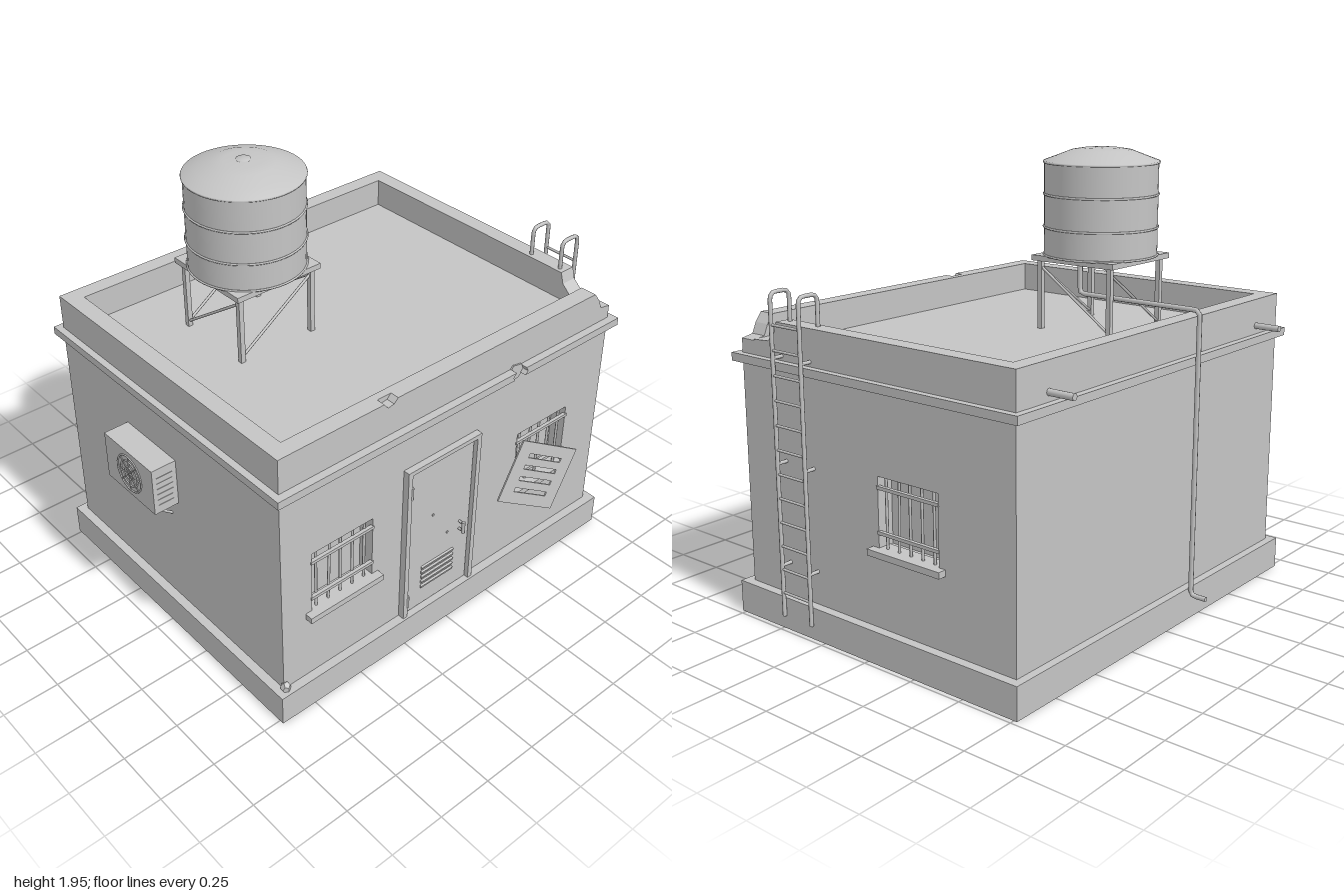
import * as THREE from 'three';

const concrete = new THREE.MeshStandardMaterial({ color: 0xc4c4c4 });
concrete.name = 'plain grey';

export function createModel() {
  const model = new THREE.Group();
  model.name = 'utilityBuilding';

  const add = (name, geometry, parent = model) => {
    const mesh = new THREE.Mesh(geometry, concrete);
    mesh.name = name;
    parent.add(mesh);
    return mesh;
  };
  const group = (name, parent = model) => {
    const g = new THREE.Group();
    g.name = name;
    parent.add(g);
    return g;
  };
  // Box given by its limits on each axis
  const box = (name, x0, x1, y0, y1, z0, z1, parent) => {
    const mesh = add(name, new THREE.BoxGeometry(x1 - x0, y1 - y0, z1 - z0), parent);
    mesh.position.set((x0 + x1) / 2, (y0 + y1) / 2, (z0 + z1) / 2);
    return mesh;
  };
  // Round bar between two points
  const rod = (name, a, b, r, parent, sides = 8) => {
    const p = new THREE.Vector3(...a), q = new THREE.Vector3(...b);
    const d = q.clone().sub(p);
    const mesh = add(name, new THREE.CylinderGeometry(r, r, d.length(), sides), parent);
    mesh.position.copy(p).add(q).multiplyScalar(0.5);
    mesh.quaternion.setFromUnitVectors(new THREE.Vector3(0, 1, 0), d.normalize());
    return mesh;
  };
  // Bent pipe with rounded corners
  const pipe = (name, pts, r, bend, parent) => {
    const v = pts.map(p => new THREE.Vector3(...p));
    const path = new THREE.CurvePath();
    let from = v[0];
    for (let i = 1; i < v.length - 1; i++) {
      const a = v[i].clone().add(v[i - 1].clone().sub(v[i]).setLength(bend));
      const b = v[i].clone().add(v[i + 1].clone().sub(v[i]).setLength(bend));
      path.add(new THREE.LineCurve3(from, a));
      path.add(new THREE.QuadraticBezierCurve3(a, v[i], b));
      from = b;
    }
    path.add(new THREE.LineCurve3(from, v[v.length - 1]));
    add(name, new THREE.TubeGeometry(path, 90, r, 8), parent);
    rod(name + 'Start', pts[0], v[0].clone().lerp(v[1], 0.05).toArray(), r, parent);
    rod(name + 'End', v[v.length - 2].clone().lerp(v[v.length - 1], 0.9).toArray(), pts[pts.length - 1], r, parent);
  };
  const outline = pts => pts.map(p => new THREE.Vector2(...p));
  const rect = (x0, x1, y0, y1) => [[x0, y0], [x1, y0], [x1, y1], [x0, y1]];
  const slab = (pts, holes, depth) => {
    const s = new THREE.Shape(outline(pts));
    holes.forEach(h => s.holes.push(new THREE.Path(outline(h))));
    return new THREE.ExtrudeGeometry(s, { depth, bevelEnabled: false });
  };

  // Walls, roof and parapet
  const T = 0.075, roofY = 1.17;
  box('base', -0.92, 0.98, 0, 0.14, -0.765, 0.77);
  box('roofCore', -0.87, 0.94 - T, 0.13, roofY, -0.72, 0.73 - T);
  const windowY = [0.475, 0.77];
  add('frontWall', slab([
    [-0.88, 0.14], [0.94, 0.14], [0.94, 1.205], [0.885, 1.215], [0.865, 1.26], [0.835, 1.3],
    [-0.3, 1.3], [-0.32, 1.28], [-0.35, 1.275], [-0.37, 1.3], [-0.88, 1.3]],
    [rect(-0.73, -0.415, ...windowY), rect(0.415, 0.725, ...windowY)], T)).position.z = 0.73 - T;
  const rightWall = add('rightWall', slab([
    [T - 0.73, 0.14], [0.73, 0.14], [0.73, 1.3], [-0.515, 1.3], [-0.53, 1.25], [-0.57, 1.215], [T - 0.73, 1.21]],
    [rect(0.04, 0.355, ...windowY)], T));
  rightWall.rotation.y = Math.PI / 2;
  rightWall.position.x = 0.94 - T;
  box('backWall', -0.88, 0.94 - T, 0.14, 1.3, -0.73, -0.73 + T);
  box('leftWall', -0.88, -0.88 + T, 0.14, 1.3, -0.73 + T, 0.73 - T);
  // Back of the shallow bite in the front parapet
  box('parapetBiteBack', -0.38, -0.29, 1.26, 1.3, 0.655, 0.69);

  // Ledge around the walls, with a broken gap at the front
  const [l0, l1] = [1.11, 1.145];
  box('ledgeBack', -0.91, 0.97, l0, l1, -0.76, -0.725);
  box('ledgeLeft', -0.91, -0.875, l0, l1, -0.725, 0.725);
  box('ledgeRight', 0.935, 0.97, l0, l1, -0.725, 0.725);
  [[[-0.91, l0], [0.325, l0], [0.315, 1.125], [0.33, l1], [-0.91, l1]],
    [[0.385, l0], [0.97, l0], [0.97, l1], [0.39, l1], [0.4, 1.125]]].forEach(p => {
    add('ledgeFront', slab(p, [], 0.04)).position.z = 0.725;
  });
  // Damaged patches on the front
  [[[0.31, 1.12], [0.335, 1.088], [0.375, 1.09], [0.402, 1.115], [0.39, 1.15], [0.34, 1.16]],
    [[0.72, 0.43], [0.765, 0.38], [0.8, 0.415], [0.785, 0.455], [0.74, 0.472]]].forEach(p => {
    add('chippedPatch', slab(p, [], 0.008)).position.z = 0.729;
  });
  const rubble = add('rubble', new THREE.DodecahedronGeometry(0.028).scale(0.8, 1, 0.8));
  rubble.position.set(-0.875, 0.15, 0.735);

  // Barred windows; local origin is at the wall face, bottom centre
  const barredWindow = (name, x, z, turn) => {
    const g = group(name);
    g.position.set(x, 0.475, z);
    g.rotation.y = turn;
    box('sill', -0.19, 0.19, -0.025, 0.002, -0.06, 0.036, g);
    for (const y of [0.065, 0.25]) box('crossBar', -0.162, 0.162, y - 0.007, y + 0.007, -0.012, 0.004, g);
    for (let i = 0; i < 5; i++) {
      const bx = -0.125 + i * 0.0625;
      rod('bar', [bx, 0, -0.015], [bx + (i === 1 ? 0.008 : 0), 0.295, -0.015], 0.006, g);
    }
  };
  barredWindow('leftFrontWindow', -0.572, 0.73, 0);
  barredWindow('rightFrontWindow', 0.57, 0.73, 0);
  barredWindow('sideWindow', 0.94, -0.197, Math.PI / 2);

  // Door with frame, vent slats, hinges and handle
  const door = group('door');
  box('frameLeft', -0.255, -0.232, 0.14, 0.925, 0.72, 0.76, door);
  box('frameRight', 0.132, 0.155, 0.14, 0.925, 0.72, 0.76, door);
  box('frameTop', -0.232, 0.132, 0.905, 0.925, 0.72, 0.76, door);
  box('leaf', -0.228, 0.128, 0.145, 0.9, 0.72, 0.742, door);
  for (let i = 0; i < 5; i++) {
    const y = 0.24 + i * 0.0265;
    box('ventSlat', -0.145, 0.04, y, y + 0.014, 0.74, 0.749, door).rotation.x = 0.3;
  }
  for (const y of [0.22, 0.81]) rod('hinge', [-0.23, y - 0.03, 0.755], [-0.23, y + 0.03, 0.755], 0.008, door);
  rod('handle', [0.072, 0.44, 0.768], [0.072, 0.5, 0.768], 0.008, door);
  for (const y of [0.45, 0.49]) rod('handleMount', [0.072, y, 0.74], [0.072, y, 0.768], 0.006, door);
  for (const [x, y] of [[-0.09, 0.615], [0, 0.47]]) rod('stud', [x, y, 0.738], [x, y, 0.746], 0.006, door);

  // Loose slotted shutter hanging over the right window
  const slots = [0, 1, 2, 3].map(i => rect(0.065, 0.25, 0.055 + i * 0.055, 0.075 + i * 0.055));
  const shutter = add('hangingShutter', slab(rect(0, 0.313, 0, 0.293), slots, 0.008));
  const u = new THREE.Vector3(0.27, -0.14, 0.075).normalize();
  const v = new THREE.Vector3(0.135, 0.258, 0).normalize();
  const n = u.clone().cross(v).normalize();
  v.crossVectors(n, u);
  shutter.quaternion.setFromRotationMatrix(new THREE.Matrix4().makeBasis(u, v, n));
  shutter.position.set(0.265, 0.515, 0.775);

  // Ladder with hooped handrails
  const ladder = group('ladder');
  for (const z of [0.32, 0.485]) {
    pipe('rail', [[0.988, 0.06, z], [0.988, 1.43, z], [0.89, 1.43, z], [0.89, 1.29, z]], 0.009, 0.03, ladder);
    for (const y of [0.285, 0.725, 1.165]) rod('bracket', [0.93, y, z], [0.988, y, z], 0.008, ladder);
  }
  for (let i = 0; i < 12; i++) {
    const y = 0.165 + i * 0.1032;
    rod('rung', [0.988, y, 0.32], [0.988, y, 0.485], 0.006, ladder);
  }

  // Air conditioner on the left wall
  const cooler = group('airConditioner');
  box('casing', -0.995, -0.875, 0.68, 0.9, -0.275, 0.065, cooler);
  for (let i = 0; i < 6; i++) {
    const y = 0.71 + i * 0.0275;
    for (const z of [-0.277, 0.065]) box('sideSlat', -0.977, -0.9, y, y + 0.01, z, z + 0.002, cooler);
  }
  for (const r of [0.03, 0.06, 0.085]) {
    const ring = add('fanRing', new THREE.TorusGeometry(r, 0.004, 6, 28), cooler);
    ring.rotation.y = Math.PI / 2;
    ring.position.set(-0.996, 0.79, -0.105);
  }
  for (let i = 0; i < 4; i++) {
    const c = 0.085 * Math.cos(i * Math.PI / 4), s = 0.085 * Math.sin(i * Math.PI / 4);
    rod('fanSpoke', [-0.996, 0.79 - s, -0.105 - c], [-0.996, 0.79 + s, -0.105 + c], 0.003, cooler);
  }
  for (const z of [-0.22, 0.01]) rod('strut', [-0.99, 0.682, z], [-0.875, 0.59, z], 0.006, cooler);

  // Water tank on its stand
  const tank = group('waterTank');
  const tx = -0.3, tz = -0.18;
  const lathe = (name, pts, y) => add(name, new THREE.LatheGeometry(outline(pts), 48), tank).position.set(tx, y, tz);
  lathe('tankBottom', [[0, 1.493], [0.245, 1.493]], 0);
  lathe('tankBody', [[0.245, 1.493], [0.245, 1.893]], 0);
  lathe('tankLid', [[0.249, 1.885], [0.249, 1.895], [0.19, 1.917], [0.13, 1.94], [0.08, 1.948], [0, 1.95]], 0);
  lathe('fillerCap', [[0.03, 1.94], [0.03, 1.953], [0, 1.953]], 0);
  for (const y of [1.495, 1.615, 1.755, 1.89]) {
    const band = add('band', new THREE.TorusGeometry(0.246, 0.005, 6, 48), tank);
    band.rotation.x = Math.PI / 2;
    band.position.set(tx, y, tz);
  }
  box('platform', -0.512, -0.088, 1.47, 1.494, -0.395, 0.032, tank);
  const [xa, xb, za, zb] = [-0.483, -0.117, -0.363, 0.003];
  for (const x of [xa, xb]) for (const z of [za, zb])
    box('leg', x - 0.011, x + 0.011, roofY - 0.01, 1.472, z - 0.011, z + 0.011, tank);
  for (const z of [za, zb]) rod('brace', [xb, 1.445, z], [xa, 1.19, z], 0.006, tank);
  for (const x of [xa, xb]) rod('brace', [x, 1.445, zb], [x, 1.19, za], 0.006, tank);

  // Downpipe and roof drains at the back
  pipe('downpipe', [[-0.155, 1.48, -0.18], [-0.155, 1.34, -0.18], [-0.155, 1.34, -0.78],
    [-0.155, 0.115, -0.78], [-0.155, 0.115, -0.855]], 0.011, 0.025);
  for (const x of [-0.703, 0.757]) rod('roofDrain', [x, 1.182, -0.72], [x, 1.182, -0.845], 0.014, model, 12);

  return model;
}
